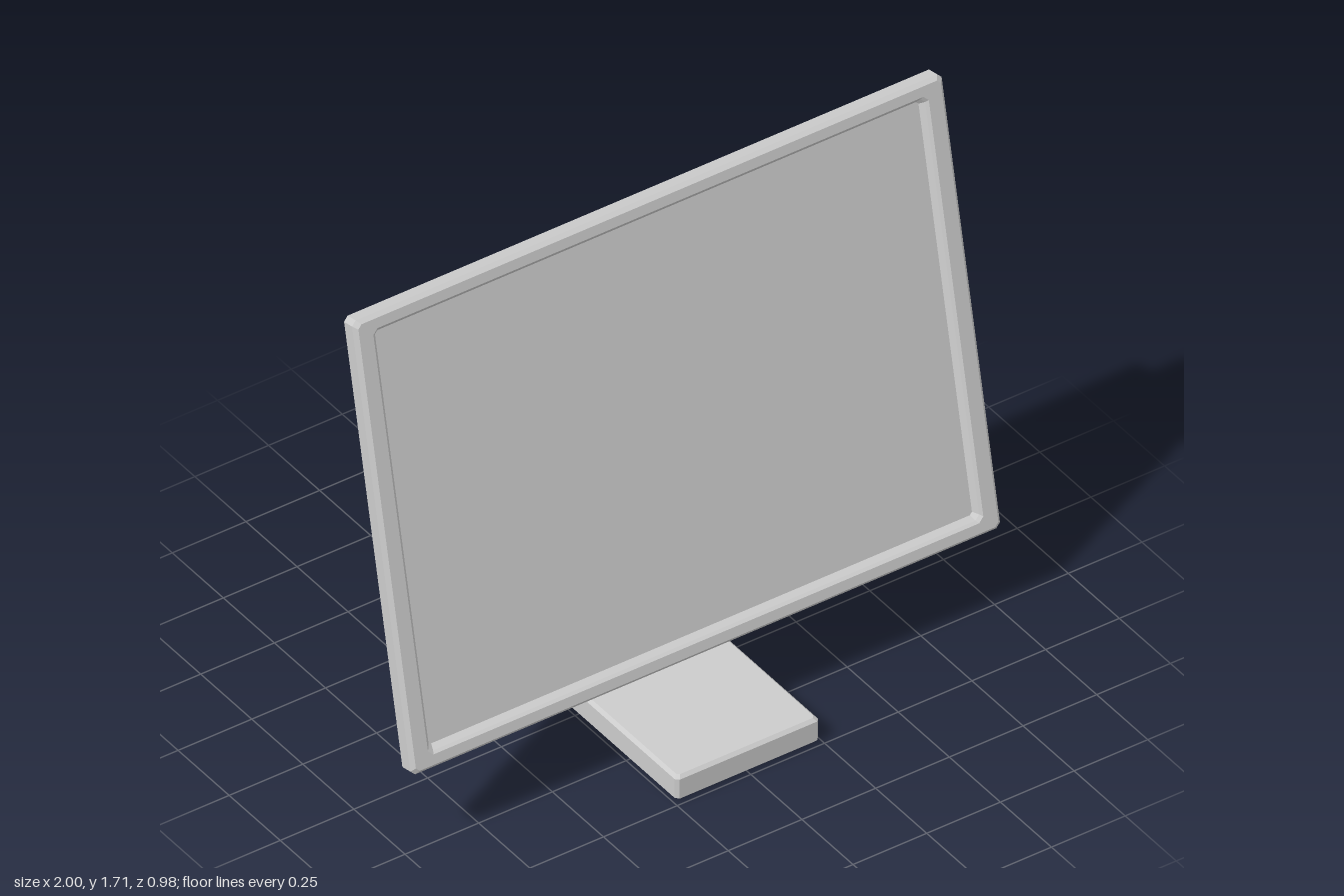
import * as THREE from 'three';

const material = new THREE.MeshStandardMaterial({ color: 0xcccccc, flatShading: true });

// Skin over corner-cut rectangles [halfWidth, halfHeight, z, cornerCut], ordered from back to front.
function loftRects(rings, capEnd = true) {
  const loops = rings.map(([w, h, z, c]) => [
    [w, -h + c], [w, h - c], [w - c, h], [-w + c, h],
    [-w, h - c], [-w, -h + c], [-w + c, -h], [w - c, -h],
  ].map(([x, y]) => [x, y, z]));
  const pos = [];
  const tri = (a, b, c) => pos.push(...a, ...b, ...c);
  for (let r = 0; r < loops.length - 1; r++) {
    const a = loops[r], b = loops[r + 1];
    for (let i = 0; i < 8; i++) {
      const j = (i + 1) % 8;
      tri(a[i], a[j], b[j]);
      tri(a[i], b[j], b[i]);
    }
  }
  const first = loops[0], last = loops[loops.length - 1];
  for (let i = 1; i < 7; i++) {
    tri(first[0], first[i + 1], first[i]);
    if (capEnd) tri(last[0], last[i], last[i + 1]);
  }
  const geometry = new THREE.BufferGeometry();
  geometry.setAttribute('position', new THREE.Float32BufferAttribute(pos, 3));
  geometry.computeVertexNormals();
  return geometry;
}

function part(name, geometry, parent) {
  const mesh = new THREE.Mesh(geometry, material);
  mesh.name = name;
  parent.add(mesh);
  return mesh;
}

export function createModel() {
  const model = new THREE.Group();
  model.name = 'monitor';

  // Tilted display assembly
  const display = new THREE.Group();
  display.name = 'display';
  display.position.set(0, 0.997, 0.115);
  display.rotation.x = -0.203;
  model.add(display);

  // Bezel with softened outer edges and a sloped recess
  part('bezel', loftRects([
    [0.99, 0.712, -0.031, 0.012],
    [1.0, 0.722, -0.021, 0.014],
    [1.0, 0.722, 0.019, 0.014],
    [0.988, 0.71, 0.031, 0.012],
    [0.942, 0.678, 0.031, 0.016],
    [0.934, 0.67, 0.023, 0.014],
    [0.922, 0.657, 0.006, 0.008],
  ], false), display);

  // Flat screen at the bottom of the recess
  const screen = part('screen', new THREE.PlaneGeometry(1.846, 1.316), display);
  screen.position.z = 0.006;

  // Tapered rear housing with a small flange against the bezel
  part('rearHousing', loftRects([
    [0.728, 0.535, -0.158, 0.006],
    [0.734, 0.543, -0.15, 0.008],
    [0.742, 0.556, -0.06, 0.008],
    [0.756, 0.574, -0.045, 0.01],
    [0.756, 0.574, -0.025, 0.01],
  ]), display);

  // Slanted support leg; side profile drawn as (z, y)
  const profile = new THREE.Shape([
    [-0.34, 0.075], [-0.272, 0.075], [-0.042, 0.95], [-0.05, 1.07], [-0.068, 1.07],
  ].map(([z, y]) => new THREE.Vector2(z, y)));
  const bevel = 0.006;
  const leg = new THREE.ExtrudeGeometry(profile, {
    depth: 0.47 - 2 * bevel, bevelEnabled: true, bevelSegments: 1,
    bevelSize: bevel, bevelThickness: bevel, bevelOffset: -bevel,
  });
  leg.translate(0, 0, -0.235 + bevel);
  leg.rotateY(-Math.PI / 2);
  part('supportLeg', leg, model);

  // Flat foot with chamfered edges
  const foot = loftRects([
    [0.233, 0.478, 0.0, 0.008],
    [0.243, 0.488, 0.01, 0.01],
    [0.243, 0.488, 0.076, 0.01],
    [0.233, 0.478, 0.086, 0.008],
  ]);
  foot.rotateX(-Math.PI / 2);
  part('foot', foot, model);

  return model;
}
